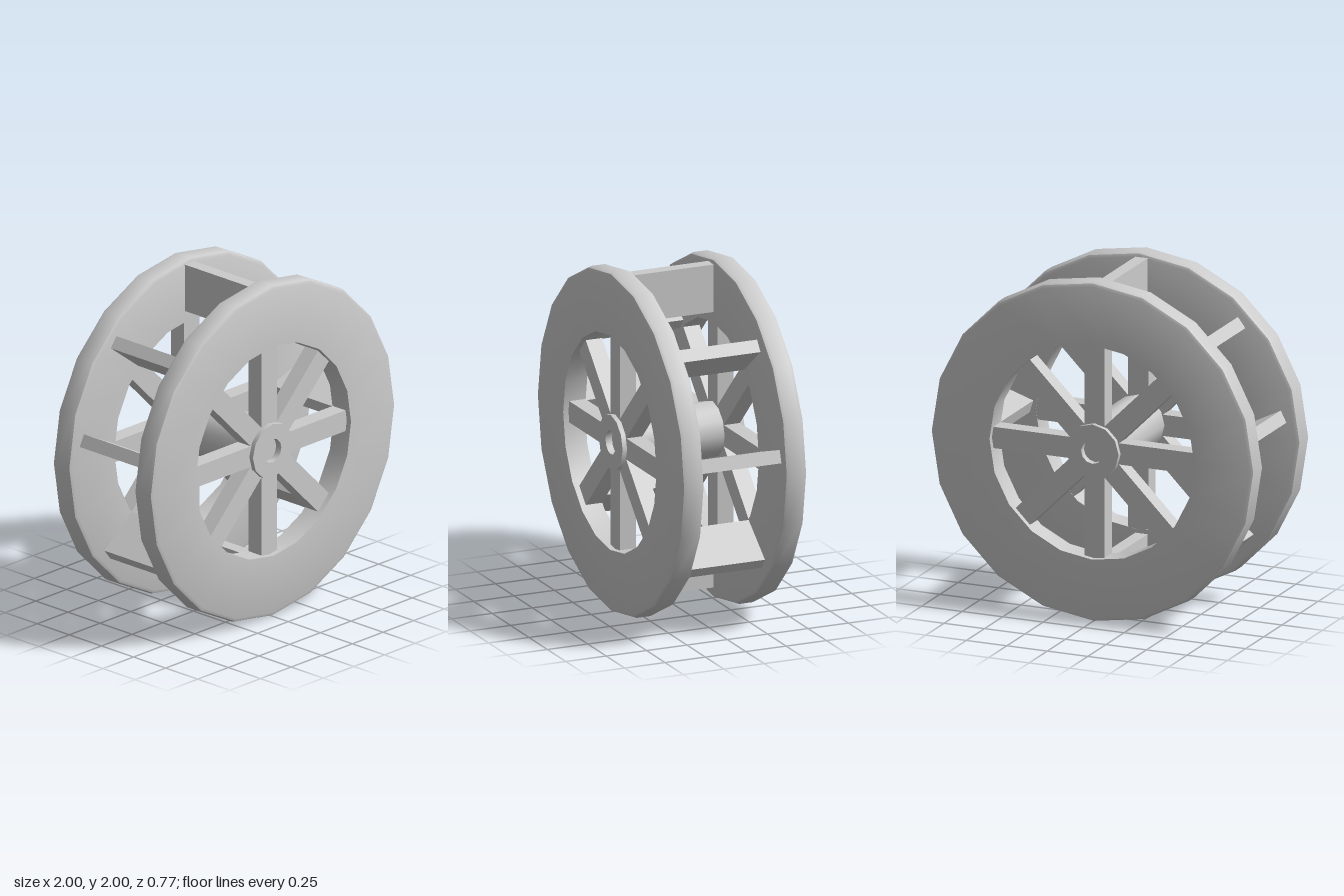
import * as THREE from 'three';
import { toCreasedNormals } from 'three/addons/utils/BufferGeometryUtils.js';

const material = new THREE.MeshStandardMaterial({ color: 0xcccccc });

function addMesh(parent, name, geometry) {
  const mesh = new THREE.Mesh(geometry, material);
  mesh.name = name;
  parent.add(mesh);
  return mesh;
}

// Turned part whose axis runs along z; profile points are [radius, z]
function turned(profile, sides) {
  const points = profile.map(([r, z]) => new THREE.Vector2(r, z));
  const geometry = new THREE.LatheGeometry(points, sides).rotateX(Math.PI / 2);
  return toCreasedNormals(geometry, 0.7);
}

export function createModel() {
  const model = new THREE.Group();
  model.name = 'waterWheel';
  const wheel = new THREE.Group();
  wheel.name = 'wheel';
  wheel.position.y = 1;
  model.add(wheel);

  // Rim ring with softened outer edges
  const h = 0.0675, b = 0.025;
  const rim = turned([
    [0.633, -h], [1 - b, -h], [1 - b * 0.3, -h + b * 0.3], [1, -h + b],
    [1, h - b], [1 - b * 0.3, h - b * 0.3], [1 - b, h], [0.633, h], [0.633, -h],
  ], 20);

  // Two side wheels, each a rim with eight spokes
  for (const side of [1, -1]) {
    const label = side > 0 ? 'front' : 'back';
    addMesh(wheel, label + 'Rim', rim).position.z = side * 0.3175;
    const spokes = new THREE.Group();
    spokes.name = label + 'Spokes';
    wheel.add(spokes);
    for (let i = 0; i < 8; i++) {
      const a = (i * Math.PI) / 4;
      const spoke = addMesh(spokes, 'spoke', new THREE.BoxGeometry(0.53, 0.125, 0.1));
      spoke.position.set(0.37 * Math.cos(a), 0.37 * Math.sin(a), side * 0.302);
      spoke.rotation.z = a;
    }
  }

  // Hub barrel with a shallow socket at each end
  addMesh(wheel, 'hub', turned([
    [0, -0.34], [0.07, -0.34], [0.07, -0.38], [0.162, -0.38],
    [0.162, 0.38], [0.07, 0.38], [0.07, 0.34], [0, 0.34],
  ], 12));

  // Paddle boards between the rims: outer end x, y and tilt in degrees
  const paddles = [
    [-0.02, 0.973, 90], [0.63, 0.667, 37], [0.925, 0.097, 18], [0.69, -0.602, -38],
    [-0.02, -0.933, -90], [-0.69, -0.602, 218], [-0.898, 0.145, 153], [-0.639, 0.667, 143],
  ];
  const length = 0.28;
  for (const [x, y, tilt] of paddles) {
    const a = THREE.MathUtils.degToRad(tilt);
    const paddle = addMesh(wheel, 'paddle', new THREE.BoxGeometry(length, 0.076, 0.52));
    paddle.position.set(x - (length / 2) * Math.cos(a), y - (length / 2) * Math.sin(a), 0);
    paddle.rotation.z = a;
  }

  return model;
}
